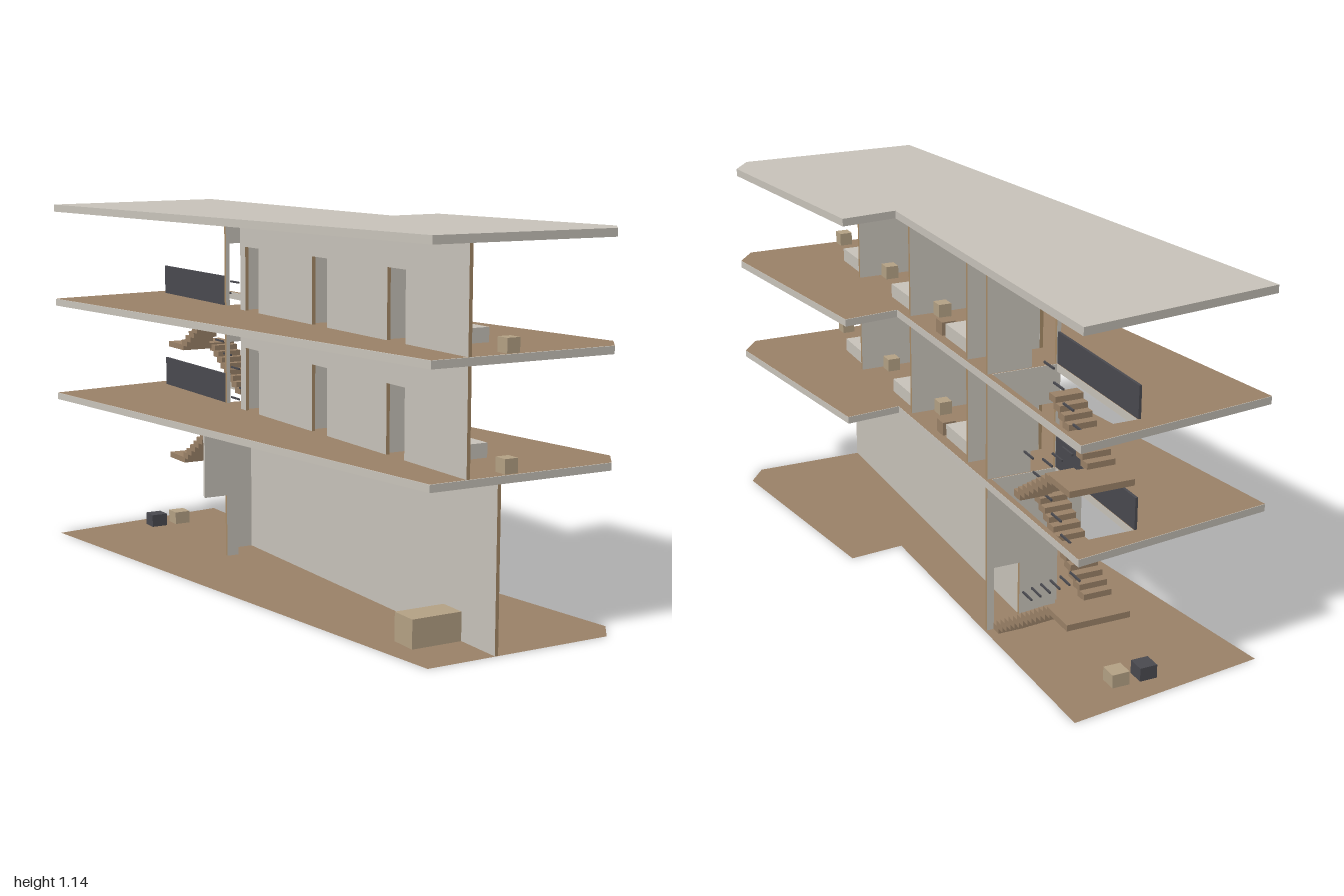
import * as THREE from 'three';

const mat = (name, color, side = THREE.FrontSide) => {
  const m = new THREE.MeshStandardMaterial({ color, side });
  m.name = name;
  return m;
};

// Floor plan corners as [x, z]
const PLAN = [[-0.19, 1], [0.41, 1], [0.47, 0.92], [0.365, 0.19], [0.185, 0.21], [0.17, -1], [-0.47, -0.91]];
const WELL = [[-0.05, -0.435], [0.157, -0.435], [0.157, -0.905], [-0.05, -0.905]];
const T = 0.011; // wall thickness
const DOOR = 0.205;

export function createModel() {
  const model = new THREE.Group();
  model.name = 'building';
  const concrete = mat('concrete', 0xc9c4bb);
  const wood = mat('brownWood', 0x9b8268);
  const floorMat = mat('brownFloor', 0x9b8268, THREE.DoubleSide);
  const edge = mat('wallEdge', 0xa88c68);
  const tan = mat('tanWood', 0xb5a285);
  const dark = mat('darkMetal', 0x4a4a50);

  // Box from its min and max corners
  const box = (name, x0, x1, y0, y1, z0, z1, material, parent = model) => {
    const mesh = new THREE.Mesh(new THREE.BoxGeometry(x1 - x0, y1 - y0, z1 - z0), material);
    mesh.position.set((x0 + x1) / 2, (y0 + y1) / 2, (z0 + z1) / 2);
    mesh.name = name;
    parent.add(mesh);
    return mesh;
  };
  const group = (name) => {
    const g = new THREE.Group();
    g.name = name;
    model.add(g);
    return g;
  };

  // Slabs lie flat: shape y is -z
  const planShape = (well) => {
    const pts = (list) => list.map(([x, z]) => new THREE.Vector2(x, -z));
    const s = new THREE.Shape(pts(PLAN));
    if (well) s.holes.push(new THREE.Path(pts(WELL)));
    return s;
  };
  const flat = (name, geometry, y, material) => {
    const mesh = new THREE.Mesh(geometry.rotateX(-Math.PI / 2), material);
    mesh.position.y = y;
    mesh.name = name;
    model.add(mesh);
  };
  const slab = (name, y0, y1, well) =>
    flat(name, new THREE.ExtrudeGeometry(planShape(well), { depth: y1 - y0, bevelEnabled: false }), y0, concrete);
  const finish = (name, y, well) => flat(name, new THREE.ShapeGeometry(planShape(well)), y, floorMat);

  finish('groundFloor', 0, false);
  slab('firstFloorSlab', 0.475, 0.497, true);
  finish('firstFloorFinish', 0.498, true);
  slab('secondFloorSlab', 0.8, 0.823, true);
  finish('secondFloorFinish', 0.824, true);
  slab('roofSlab', 1.121, 1.145, false);

  // Walls have coloured end faces; doors are [from, to] intervals along the wall
  const xEnds = [edge, edge, concrete, concrete, concrete, concrete];
  const zEnds = [concrete, concrete, concrete, concrete, edge, edge];
  const wall = (name, axis, at, a, b, y0, y1, doors = []) => {
    const g = group(name);
    const piece = (p, q, bottom, top, ends) => {
      if (q - p < 0.001) return;
      if (axis === 'x') box('wallPanel', p, q, bottom, top, at - T / 2, at + T / 2, ends ? xEnds : concrete, g);
      else box('wallPanel', at - T / 2, at + T / 2, bottom, top, p, q, ends ? zEnds : concrete, g);
    };
    let start = a;
    for (const [d0, d1] of doors) {
      piece(start, d0, y0, y1, true);
      piece(d0, d1, y0 + DOOR, y1, false);
      start = d1;
    }
    piece(start, b, y0, y1, true);
  };

  // Ground storey
  wall('groundLongWall', 'z', 0.032, -0.42, 1, 0.001, 0.475);
  wall('groundStairWall', 'x', -0.426, -0.058, 0.17, 0.001, 0.475, [[0.063, 0.147]]);
  wall('groundLobbyWall', 'x', -0.337, -0.19, -0.068, 0.001, 0.475, [[-0.19, -0.11]]);
  box('receptionDesk', -0.136, 0.026, 0.001, 0.086, 0.75, 0.84, tan);
  box('darkBin', -0.155, -0.1, 0.001, 0.043, -0.885, -0.83, dark);
  box('tanBin', -0.065, -0.01, 0.001, 0.043, -0.885, -0.83, tan);

  // Two identical upper storeys with three rooms each
  for (const [base, top] of [[0.498, 0.8], [0.824, 1.121]]) {
    wall('corridorWall', 'z', -0.069, -0.295, 1, base, top, [[-0.26, -0.17], [0.175, 0.265], [0.6, 0.695]]);
    wall('stairWall', 'x', -0.426, -0.063, 0.17, base, top, [[-0.05, 0.03]]);
    for (const z of [0.575, 0.14, -0.29]) {
      wall('roomWall', 'x', z, -0.063, 0.17, base, top);
      box('bed', 0.002, 0.15, base, base + 0.043, z + 0.006, z + 0.2, concrete);
    }
    for (const z of [0.97, 0.538, 0.103]) {
      box('nightstand', 0.055, 0.097, base, base + 0.042, z - 0.022, z + 0.022, tan);
    }
    for (const z of [0.457, 0.05]) box('cabinet', -0.052, -0.006, base, base + 0.042, z - 0.03, z + 0.03, wood);
    box('chair', 0.11, 0.155, base, base + 0.042, -0.075, -0.03, wood);
    box('stairGuard', -0.06, -0.052, base, base + 0.096, -0.905, -0.432, dark);
  }

  // Stairs: two flights and a landing per storey
  const RISE = 0.018, RUN = 0.0277;
  const stair = (base, landing, count1, count2) => {
    const g = group('staircase');
    const tread = (x0, x1, y, z) => box('tread', x0, x1, y - 0.021, y, z - 0.02, z + 0.02, wood, g);
    for (let i = 0; i < count1; i++) {
      tread(0.06, 0.148, base + 0.004 + (i + 1) * RISE, -0.777 + (count1 - 1 - i) * RUN);
    }
    for (let i = 0; i < count2; i++) tread(-0.048, 0.04, landing + (i + 1) * RISE, -0.777 + i * RUN);
    box('landing', -0.048, 0.15, landing - 0.019, landing, -0.905, -0.785, wood, g);
    // Short handrail bars stepping along both flights
    const bar = (y, z) => box('handrailBar', 0.048, 0.053, y - 0.003, y + 0.003, z - 0.03, z + 0.03, dark, g);
    const bars = Math.ceil(count1 / 2.2);
    for (let k = 0; k < bars; k++) {
      bar(landing + 0.06 - k * 0.041, -0.76 + k * 0.06);
      bar(landing + 0.11 + k * 0.041, -0.76 + k * 0.06);
    }
  };
  stair(0, 0.25, 13, 12);
  stair(0.497, 0.651, 8, 8);

  return model;
}
